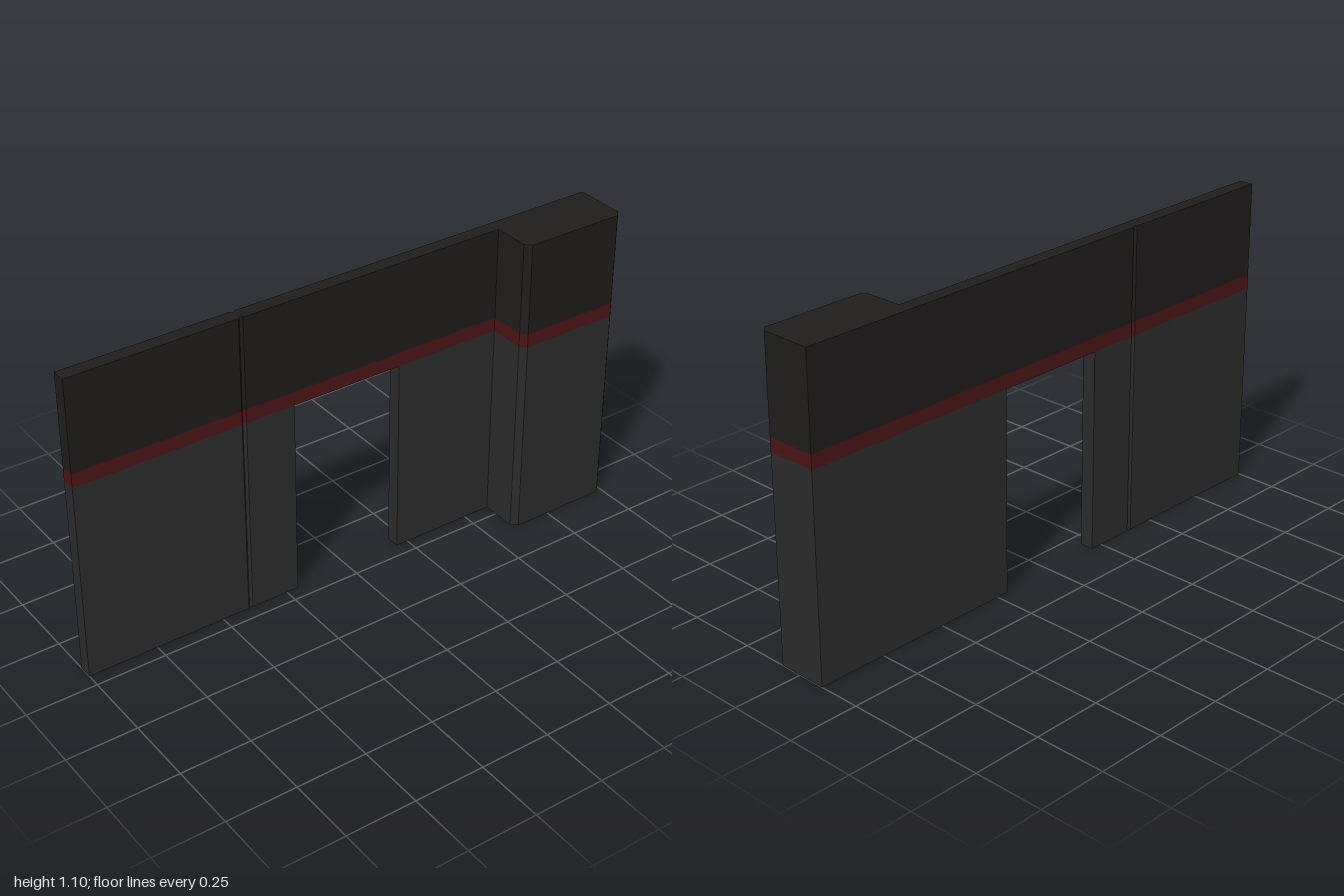
import * as THREE from 'three';

const BACK = -0.1, FRONT = -0.05, DEPTH = 0.1;   // wall faces and pillar front
const SEAM = -0.393, BEVEL = 0.008;              // vertical joint between panels
const DOOR = 0.205, PILLAR = 0.6, CHAMFER = 0.02;

const paint = (color) => new THREE.MeshStandardMaterial({ color });
const lowerPaint = paint(0x2b2b2b);
const stripePaint = paint(0x4a1414);
const upperPaint = paint(0x1f1d1c);

// Extrude a plan outline of [x, z] points upward from y0 to y1
function slab(name, plan, y0, y1, sideMaterial, capMaterial = sideMaterial) {
  const shape = new THREE.Shape(plan.map(([x, z]) => new THREE.Vector2(x, -z)));
  const geometry = new THREE.ExtrudeGeometry(shape, { depth: y1 - y0, bevelEnabled: false });
  geometry.rotateX(-Math.PI / 2).translate(0, y0, 0);
  const mesh = new THREE.Mesh(geometry, [capMaterial, sideMaterial]);
  mesh.name = name;
  return mesh;
}

// Bevelled panel edge at the seam, listed front to back
const seamEdge = (side) => [
  [SEAM + side * BEVEL, FRONT],
  [SEAM, FRONT - BEVEL],
  [SEAM, BACK + BEVEL],
  [SEAM + side * BEVEL, BACK],
];

// Wall end with the chamfered pillar, listed back to front
const pillarEnd = [
  [1, BACK], [1, DEPTH - CHAMFER], [1 - CHAMFER, DEPTH],
  [PILLAR + CHAMFER, DEPTH], [PILLAR, DEPTH - CHAMFER], [PILLAR, FRONT],
];

export function createModel() {
  const model = new THREE.Group();
  model.name = 'doorwayWall';

  // Plan outlines
  const sidePanel = [[-1, FRONT], ...seamEdge(-1), [-1, BACK]];
  const doorPanel = [...seamEdge(1), ...pillarEnd];
  const rightJamb = [...seamEdge(1), [-DOOR, BACK], [-DOOR, FRONT]];
  const leftJamb = [[DOOR, FRONT], [DOOR, BACK], ...pillarEnd];

  // Lower wall, split by the doorway
  model.add(
    slab('lowerSidePanel', sidePanel, 0, 0.72, lowerPaint),
    slab('lowerRightJamb', rightJamb, 0, 0.72, lowerPaint),
    slab('lowerLeftJambAndPillar', leftJamb, 0, 0.72, lowerPaint),
  );

  // Stripe and upper wall run unbroken over the doorway
  for (const [name, plan] of [['SidePanel', sidePanel], ['DoorPanel', doorPanel]]) {
    model.add(
      slab('stripe' + name, plan, 0.72, 0.77, stripePaint, upperPaint),
      slab('upper' + name, plan, 0.77, 1.1, upperPaint),
    );
  }
  return model;
}
